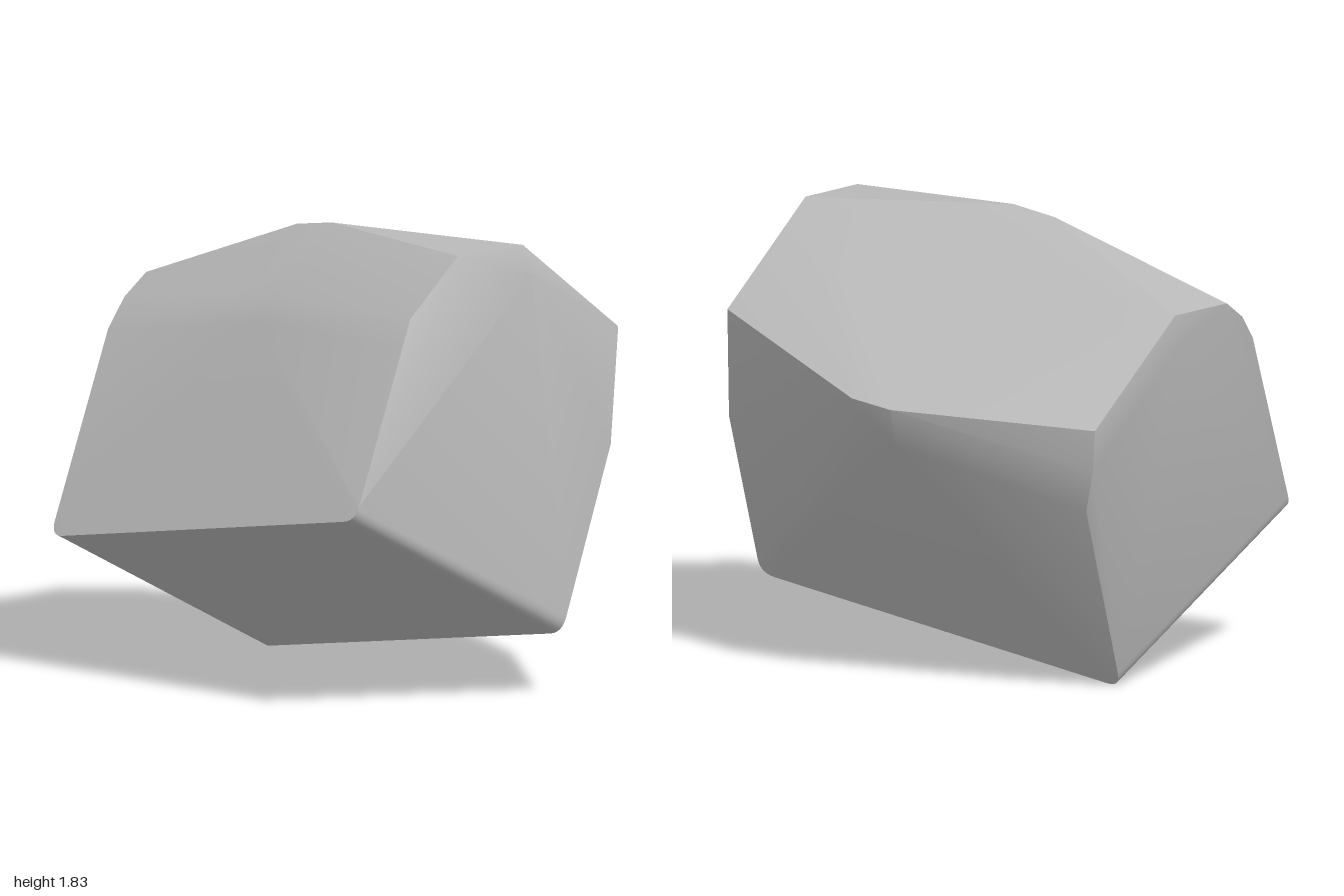
import * as THREE from 'three';
import { toCreasedNormals } from 'three/addons/utils/BufferGeometryUtils.js';
import { ConvexGeometry } from 'three/addons/geometries/ConvexGeometry.js';

const v = (x, y, z) => new THREE.Vector3(x, y, z);

// Rounds a corner p between the directions of two neighbours
function roundCorner(p, a, b, pull = 0.07) {
  const towards = (q) => p.clone().add(q.clone().sub(p).setLength(pull));
  return new THREE.QuadraticBezierCurve3(towards(a), p, towards(b)).getPoints(6);
}

export function createModel() {
  const group = new THREE.Group();
  const stone = new THREE.MeshStandardMaterial({ color: 0xb8b8b8 });
  stone.name = 'stone grey';

  // Corners of the tilted flat base
  const frontRight = v(-0.74, 0.55, 0.93), frontLeft = v(1.01, 0.83, 0.78);
  const backLeft = v(1.0, 0.26, -0.29), backRight = v(-0.74, -0.01, -0.14);

  // Shoulders where the side edges bend towards the top
  const shoulderFR = v(-0.88, 1.33, 0.52), shoulderFL = v(0.85, 1.48, 0.42);
  const shoulderBL = v(0.87, 0.97, -0.645), shoulderBR = v(-0.9, 0.79, -0.55);

  const points = [
    ...roundCorner(frontRight, frontLeft, shoulderFR),
    ...roundCorner(frontLeft, frontRight, shoulderFL),
    ...roundCorner(backLeft, backRight, shoulderBL),
    ...roundCorner(backRight, backLeft, shoulderBR),
    shoulderFR, shoulderFL, shoulderBL, shoulderBR,
    // curve of the front face below the top ridge
    v(-0.2, 1.45, 0.46), v(0, 1.46, 0.46), v(-0.2, 1.55, 0.39), v(0, 1.57, 0.385), v(0.84, 1.58, 0.36),
    v(-0.925, 1.44, 0.4),
    // top ridge
    v(-0.96, 1.52, 0.26), v(-0.2, 1.8, 0.1), v(0, 1.83, 0.085), v(0.82, 1.805, 0.1),
    // rim of the sloping top
    v(0.8, 1.81, -0.25), v(0.8, 1.427, -0.74), v(0, 1.195, -0.93), v(-0.19, 1.17, -0.92),
    v(-0.97, 1.13, -0.58), v(-0.99, 1.53, -0.1),
    // bulges on the sides and back
    v(0.86, 1.7, -0.25), v(0.83, 1.2, -0.69), v(-1, 1.4, -0.1),
    v(-0.04, 1.03, -0.86), v(-0.17, 1.01, -0.86), v(-0.955, 0.96, -0.575),
  ];

  const rock = new THREE.Mesh(toCreasedNormals(new ConvexGeometry(points), 0.48), stone);
  rock.name = 'rock';

  // Rest on the ground and centre the rock
  rock.geometry.computeBoundingBox();
  const { min, max } = rock.geometry.boundingBox;
  rock.geometry.translate(-(min.x + max.x) / 2, -min.y, -(min.z + max.z) / 2);
  group.add(rock);
  return group;
}
